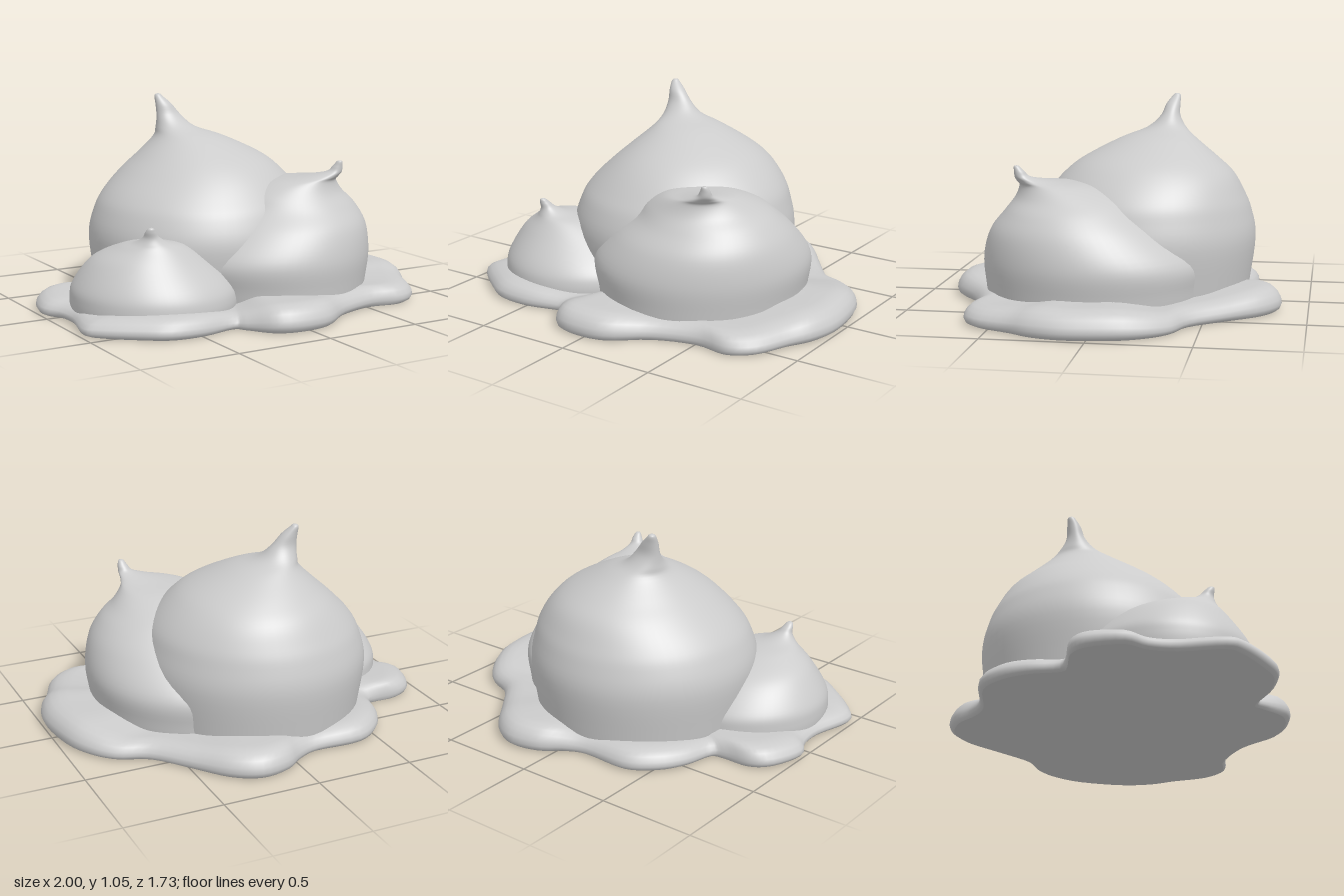
import * as THREE from 'three';

const material = new THREE.MeshStandardMaterial({ color: 0xcccccc });

// Skin a stack of closed rings; each ring is an array of Vector3
function loft(name, rings) {
  const n = rings[0].length;
  const pos = rings.flat().flatMap(p => [p.x, p.y, p.z]);
  const index = [];
  for (let i = 0; i < rings.length - 1; i++) {
    for (let j = 0; j < n; j++) {
      const k = (j + 1) % n;
      const a = i * n + j, b = i * n + k, c = a + n, d = b + n;
      index.push(a, c, b, b, c, d);
    }
  }
  const geo = new THREE.BufferGeometry();
  geo.setAttribute('position', new THREE.Float32BufferAttribute(pos, 3));
  geo.setIndex(index);
  geo.computeVertexNormals();
  const mesh = new THREE.Mesh(geo, material);
  mesh.name = name;
  return mesh;
}

// Dollop: sections are [y, centreX, centreZ, radiusX, radiusZ], smoothed into a leaning drop
function dollop(name, sections, steps = 60, n = 64) {
  const curve = f => new THREE.CatmullRomCurve3(sections.map(f), false, 'catmullrom', 0.5);
  const axis = curve(([y, x, z]) => new THREE.Vector3(x, y, z));
  const radii = curve(([y, , , rx, rz = rx]) => new THREE.Vector3(rx, y, rz));
  const rings = [];
  for (let i = 0; i <= steps; i++) {
    const c = axis.getPoint(i / steps), r = radii.getPoint(i / steps);
    rings.push(Array.from({ length: n }, (_, j) => {
      const a = j / n * Math.PI * 2;
      return new THREE.Vector3(c.x + r.x * Math.cos(a), c.y, c.z + r.z * Math.sin(a));
    }));
  }
  return loft(name, rings);
}

// Puddle outline: [x, z, rim height]
const outline = [
  [1, 0.1, 0.13], [0.97, -0.13, 0.13], [0.9, -0.28, 0.11], [0.8, -0.38, 0.09], [0.65, -0.45, 0.09],
  [0.5, -0.63, 0.1], [0.37, -0.79, 0.12], [0.23, -0.865, 0.125], [0.08, -0.84, 0.12], [-0.03, -0.76, 0.1],
  [-0.15, -0.715, 0.09], [-0.39, -0.72, 0.1], [-0.53, -0.63, 0.1], [-0.61, -0.5, 0.09], [-0.65, -0.35, 0.08],
  [-0.72, -0.325, 0.09], [-0.86, -0.32, 0.1], [-0.95, -0.25, 0.1], [-1, -0.08, 0.09], [-0.95, 0.03, 0.08],
  [-0.94, 0.17, 0.08], [-0.99, 0.38, 0.08], [-0.95, 0.47, 0.09], [-0.8, 0.6, 0.1], [-0.67, 0.68, 0.1],
  [-0.5, 0.69, 0.09], [-0.32, 0.65, 0.07], [-0.27, 0.7, 0.08], [-0.18, 0.82, 0.12], [-0.05, 0.86, 0.125],
  [0.12, 0.835, 0.12], [0.3, 0.7, 0.1], [0.52, 0.63, 0.1], [0.7, 0.65, 0.1], [0.82, 0.57, 0.1],
  [0.9, 0.4, 0.11], [0.97, 0.27, 0.13],
];

function puddle() {
  const n = 148;
  const curve = new THREE.CatmullRomCurve3(
    outline.map(([x, z, h]) => new THREE.Vector3(x, h, z)), true, 'catmullrom', 0.5);
  const rim = Array.from({ length: n }, (_, j) => curve.getPoint(1 - j / n));
  const ring = (scale, lift) => rim.map(p => new THREE.Vector3(p.x * scale, p.y * lift, p.z * scale));
  const group = new THREE.Group();
  group.name = 'puddle';
  // Rounded rim rolling over to a slightly sunken top
  const profile = [[0.97, 0], [0.99, 0.1], [1, 0.28], [0.995, 0.5], [0.975, 0.74], [0.945, 0.91],
    [0.905, 1], [0.86, 1.02], [0.8, 0.99], [0.72, 0.98], [0.6, 0.95], [0.45, 0.9]];
  group.add(loft('puddleTop', profile.map(([s, l]) => ring(s, l))));
  group.add(loft('puddleUnderside', [ring(0, 0), ring(0.97, 0)]));
  return group;
}

export function createModel() {
  const model = new THREE.Group();
  model.name = 'dollops';
  model.add(puddle());

  // Tall rear dollop, tip curling back and to the right
  model.add(dollop('largeDollop', [
    [0, -0.06, -0.13, 0.54], [0.12, -0.06, -0.13, 0.56], [0.33, -0.06, -0.13, 0.585],
    [0.47, -0.055, -0.135, 0.555], [0.56, -0.045, -0.145, 0.51], [0.66, -0.035, -0.16, 0.42, 0.44],
    [0.74, -0.04, -0.17, 0.325, 0.345], [0.83, -0.085, -0.2, 0.185, 0.2], [0.88, -0.145, -0.235, 0.105],
    [0.94, -0.175, -0.252, 0.068, 0.052], [1, -0.2, -0.264, 0.043, 0.037],
    [1.04, -0.221, -0.279, 0.022], [1.052, -0.223, -0.281, 0.012], [1.055, -0.223, -0.281, 0],
  ]));

  // Front left dollop, tip leaning outwards
  model.add(dollop('mediumDollop', [
    [0, 0.2, 0.08, 0.51, 0.55], [0.12, 0.2, 0.08, 0.53, 0.565], [0.26, 0.2, 0.085, 0.547, 0.57],
    [0.4, 0.25, 0.14, 0.46, 0.47], [0.5, 0.285, 0.17, 0.36], [0.57, 0.28, 0.19, 0.287],
    [0.63, 0.31, 0.26, 0.19], [0.655, 0.37, 0.35, 0.1], [0.68, 0.42, 0.41, 0.042],
    [0.71, 0.433, 0.427, 0.026], [0.735, 0.437, 0.439, 0.014], [0.74, 0.437, 0.44, 0],
  ]));

  // Front right small dollop
  model.add(dollop('smallDollop', [
    [0, -0.5, 0.18, 0.41], [0.1, -0.5, 0.18, 0.418], [0.18, -0.51, 0.18, 0.392],
    [0.3, -0.54, 0.2, 0.282], [0.37, -0.555, 0.26, 0.168], [0.4, -0.585, 0.32, 0.085],
    [0.43, -0.602, 0.35, 0.042], [0.46, -0.613, 0.368, 0.026], [0.478, -0.616, 0.378, 0.015],
    [0.485, -0.616, 0.38, 0],
  ]));
  return model;
}
